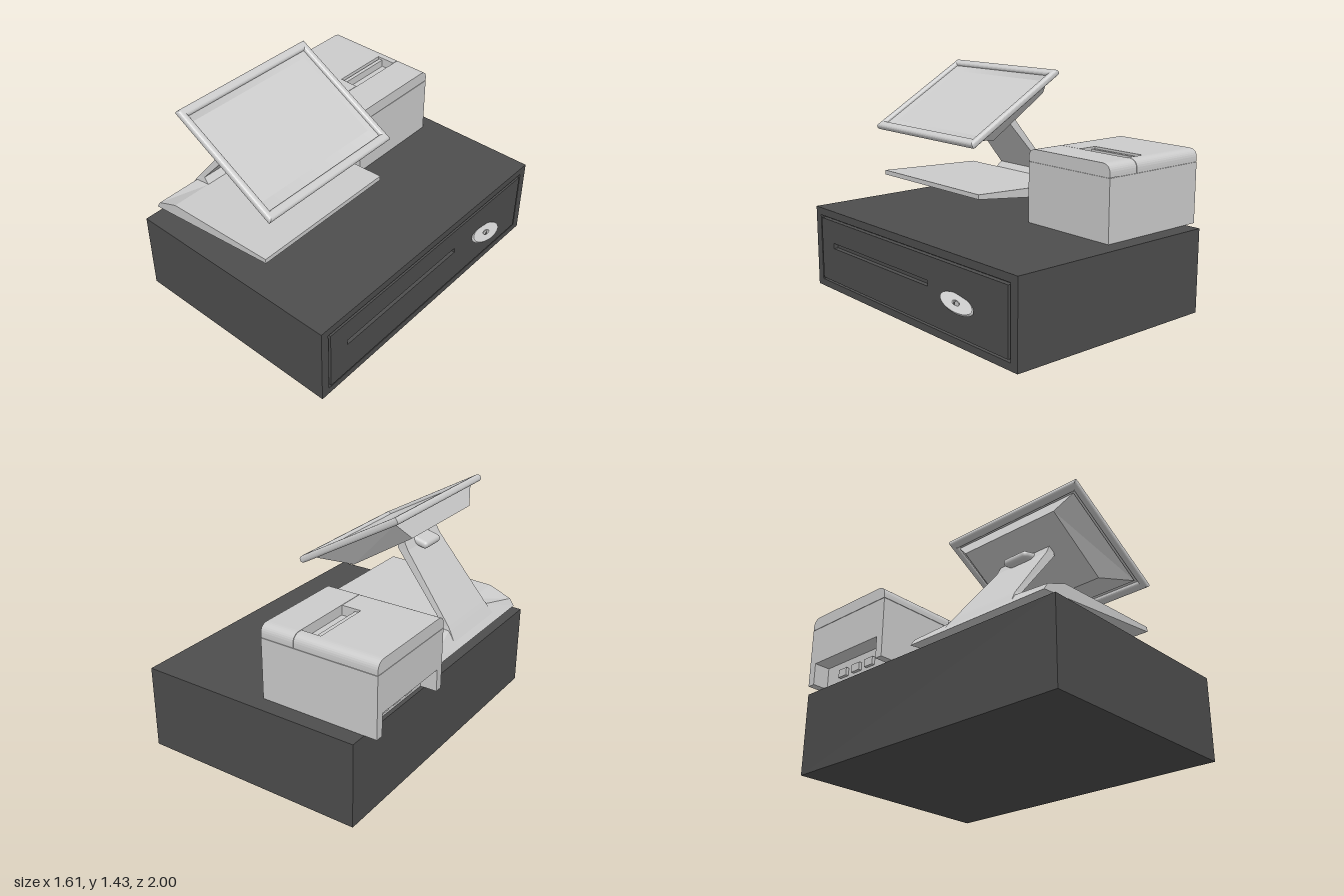
import * as THREE from 'three';
import { mergeVertices } from 'three/addons/utils/BufferGeometryUtils.js';
import { RoundedBoxGeometry } from 'three/addons/geometries/RoundedBoxGeometry.js';

const grey = new THREE.MeshStandardMaterial({ color: 0xcccccc });
const greyBothSides = new THREE.MeshStandardMaterial({ color: 0xcccccc, side: THREE.DoubleSide });
const dark = new THREE.MeshStandardMaterial({ color: 0x4d4d4d });
const V = (x, y, z) => new THREE.Vector3(x, y, z);

function add(parent, name, geometry, material = grey, x = 0, y = 0, z = 0) {
  const mesh = new THREE.Mesh(geometry, material);
  mesh.name = name;
  mesh.position.set(x, y, z);
  parent.add(mesh);
  return mesh;
}

// Flat-faced solid through rings of [x, y, z] points
function loft(rings, caps = true) {
  const pos = [];
  const tri = (...pts) => pts.forEach((p) => pos.push(...p));
  const n = rings[0].length;
  for (let r = 0; r < rings.length - 1; r++) {
    for (let i = 0; i < n; i++) {
      const j = (i + 1) % n, lo = rings[r], hi = rings[r + 1];
      tri(lo[i], lo[j], hi[j]);
      tri(lo[i], hi[j], hi[i]);
    }
  }
  const first = rings[0], last = rings[rings.length - 1];
  for (let i = 1; caps && i < n - 1; i++) {
    tri(first[0], first[i + 1], first[i]);
    tri(last[0], last[i], last[i + 1]);
  }
  const g = new THREE.BufferGeometry();
  g.setAttribute('position', new THREE.Float32BufferAttribute(pos, 3));
  g.computeVertexNormals();
  return g;
}

// Rectangular ring, counter-clockwise seen from above
const rectRing = ([xa, ya], [xb, yb], z0, z1) =>
  [[xa, ya, z1], [xb, yb, z1], [xb, yb, z0], [xa, ya, z0]];

function rect(x0, y0, x1, y1, Type = THREE.Shape) {
  return new Type([[x0, y0], [x1, y0], [x1, y1], [x0, y1]].map((p) => new THREE.Vector2(...p)));
}

// Extrude a (-z, y) profile along x
function alongX(shape, x0, x1) {
  return new THREE.ExtrudeGeometry(shape, { depth: x1 - x0, bevelEnabled: false, curveSegments: 8 })
    .rotateY(Math.PI / 2).translate(x0, 0, 0);
}

function cashDrawer() {
  const g = new THREE.Group();
  g.name = 'cashDrawer';
  add(g, 'drawerCase', new THREE.BoxGeometry(1.425, 0.53, 2), dark, -0.0125, 0.265, 0);
  const frame = rect(-1, 0, 1, 0.53);
  frame.holes.push(rect(-0.945, 0.045, 0.945, 0.482, THREE.Path));
  add(g, 'drawerFrame', alongX(frame, 0.70, 0.727), dark);
  const panel = rect(-0.93, 0.06, 0.93, 0.467);
  panel.holes.push(rect(-0.79, 0.285, 0.23, 0.32, THREE.Path));
  add(g, 'drawerPanel', alongX(panel, 0.70, 0.731), dark);

  // Tilted oval lock plate with a key slot
  const oval = new THREE.Shape().absellipse(0, 0, 0.135, 0.05, 0, Math.PI * 2);
  oval.holes.push(new THREE.Path().absellipse(0, 0, 0.03, 0.012, 0, Math.PI * 2));
  const plate = new THREE.ExtrudeGeometry(oval, {
    depth: 0.014, bevelThickness: 0.005, bevelSize: 0.005, bevelOffset: -0.005, bevelSegments: 2, curveSegments: 20,
  });
  const major = V(0, 0.16, 0.98).normalize();
  const minor = V(0.65, 0.75, 0).cross(major).normalize();
  const normal = major.clone().cross(minor);
  plate.applyMatrix4(new THREE.Matrix4().makeBasis(major, minor, normal));
  add(g, 'lockPlate', plate, grey, 0.752, 0.26, -0.53);
  add(g, 'lockBarrel', new THREE.CylinderGeometry(0.02, 0.02, 0.04, 16).rotateZ(Math.PI / 2),
    grey, 0.735, 0.26, -0.53);
  return g;
}

function printer() {
  const g = new THREE.Group();
  g.name = 'receiptPrinter';
  const z0 = 0.225, z1 = 0.895, back = -0.805, front = -0.045;

  // Body, with a cable opening low in the back
  const rear = new THREE.Shape();
  [[z0, 0.53], [z0 + 0.05, 0.53], [z0 + 0.05, 0.67], [z1 - 0.05, 0.67], [z1 - 0.05, 0.53],
    [z1, 0.53], [z1, 0.911], [z0, 0.911]].forEach(([a, b], i) => (i ? rear.lineTo(a, b) : rear.moveTo(a, b)));
  add(g, 'printerRear', alongX(rear, back, -0.70));
  add(g, 'printerBody', alongX(rect(z0, 0.53, z1, 0.911), -0.70, front));
  add(g, 'seamCore', alongX(rect(z0 + 0.005, 0.85, z1 - 0.005, 0.93), back + 0.005, front - 0.005));
  for (const z of [-0.68, -0.56, -0.44]) {
    add(g, 'cablePort', new THREE.BoxGeometry(0.03, 0.05, 0.07), grey, -0.705, 0.59, z);
  }

  // Rounded lid, cut by the paper slot
  function lid(slot) {
    const r = 0.06, y0 = 0.914, y1 = 0.992;
    const s = new THREE.Shape().moveTo(z0, y0).lineTo(z1, y0).lineTo(z1, y1 - r);
    s.quadraticCurveTo(z1, y1, z1 - r, y1);
    if (slot) s.lineTo(0.82, y1).lineTo(0.82, 0.93).lineTo(0.44, 0.93).lineTo(0.44, y1);
    s.lineTo(z0 + r, y1);
    s.quadraticCurveTo(z0, y1, z0, y1 - r);
    return s;
  }
  add(g, 'rearLid', alongX(lid(false), back, -0.395));
  add(g, 'slotLid', alongX(lid(true), -0.395, -0.268));
  add(g, 'frontLid', alongX(lid(false), -0.265, front));
  add(g, 'paperCutter', new THREE.BoxGeometry(0.025, 0.05, 0.37), grey, -0.372, 0.955, -0.63);
  return g;
}

function terminal() {
  const g = new THREE.Group();
  g.name = 'terminal';
  const mid = 0.41;

  // Wedge foot rising towards the arm
  const foot = (z, bx, by) => [[-0.71, 0.585, z], [0.235, 0.69, z], [0.235, 0.72, z],
    [-0.53, 0.69, z], [bx, by, z]];
  add(g, 'foot', loft([foot(-0.085, -0.68, 0.63), foot(0.17, -0.63, 0.68),
    foot(0.65, -0.63, 0.68), foot(0.915, -0.68, 0.63)]));

  // Leaning arm, flared at the bottom, ending inside the housing
  const arm = [[[-0.69, 0.605], [-0.5, 0.64], 0.26], [[-0.64, 0.68], [-0.53, 0.69], 0.238],
    [[-0.622, 0.705], [-0.565, 0.725], 0.232], [[-0.3, 1.115], [-0.228, 1.12], 0.195],
    [[-0.27, 1.17], [-0.225, 1.145], 0.192]];
  add(g, 'arm', loft(arm.map(([o, i, w]) => rectRing(o, i, mid - w, mid + w))));
  const knob = add(g, 'hingeKnob', new RoundedBoxGeometry(0.12, 0.05, 0.18, 4, 0.024), grey, -0.31, 1.133, mid);
  knob.rotation.z = 0.25;

  // Tapered screen housing behind the bezel
  add(g, 'screenHousing', loft([
    rectRing([-0.42, 1.27], [-0.008, 1.008], 0.06, 0.76),
    rectRing([-0.365, 1.375], [0.21, 1.04], -0.045, 0.865),
  ]).toNonIndexed().clone());

  // Bezel with rounded edges
  const along = V(0.866, -0.5, 0), out = V(0.5, 0.866, 0);
  const outline = rect(-0.402, -0.507, 0.402, 0.507);
  outline.holes.push(rect(-0.347, -0.463, 0.347, 0.463, THREE.Path));
  const bezel = new THREE.ExtrudeGeometry(outline, {
    depth: 0.009, bevelThickness: 0.018, bevelSize: 0.018, bevelOffset: -0.018, bevelSegments: 4,
  }).translate(0, 0, -0.0045);
  bezel.applyMatrix4(new THREE.Matrix4().makeBasis(along, V(0, 0, -1), out));
  add(g, 'bezel', bezel, grey, -0.06, 1.22, mid);

  // Smooth hollow screen recess, opening towards the viewer
  const recess = loft([
    rectRing([-0.22, 1.15], [-0.22, 1.15], 0.74, 0.08),
    rectRing([-0.36, 1.395], [0.245, 1.046], 0.873, -0.053),
  ], false).deleteAttribute('normal');
  const smoothRecess = mergeVertices(recess);
  smoothRecess.computeVertexNormals();
  add(g, 'screenRecess', smoothRecess, greyBothSides);
  return g;
}

export function createModel() {
  const model = new THREE.Group();
  model.name = 'cashRegister';
  model.add(cashDrawer(), printer(), terminal());
  return model;
}
